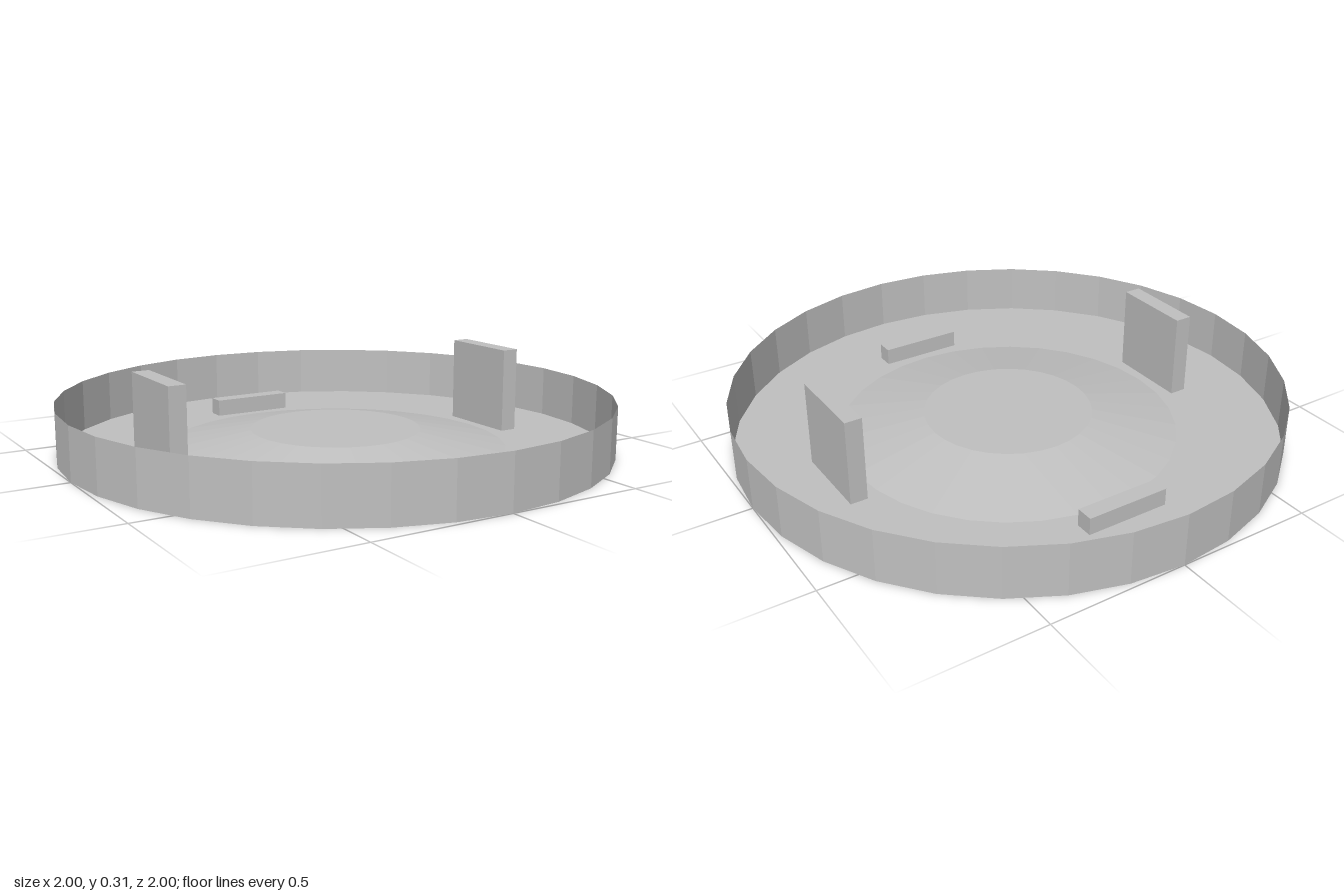
import * as THREE from 'three';

const RIM_R = 1, RIM_H = 0.19;   // outer wall
const DOME_H = 0.063;            // raised centre
const TAB_R = 0.688, TAB_W = 0.31, TAB_T = 0.063;

export function createModel() {
  const grey = new THREE.MeshStandardMaterial({ color: 0xc0c0c0 });
  grey.name = 'light grey';
  grey.flatShading = true;
  grey.side = THREE.DoubleSide;

  const model = new THREE.Group();
  model.name = 'shallowTray';

  // Thin sheet turned about y, 32 sided
  const turned = (name, points) => {
    const profile = points.map(([r, y]) => new THREE.Vector2(r, y));
    const mesh = new THREE.Mesh(new THREE.LatheGeometry(profile, 32), grey);
    mesh.name = name;
    model.add(mesh);
  };
  // Floor with a raised, flat-topped centre
  turned('floor', [[RIM_R, 0], [0.622, 0], [0.31, DOME_H], [0, DOME_H]]);
  // Open wall around the edge
  turned('rimWall', [[RIM_R, 0], [RIM_R, RIM_H]]);

  // Four upright tabs: tall at the sides, low at front and back
  const names = ['frontTab', 'leftTab', 'backTab', 'rightTab'];
  names.forEach((name, i) => {
    const height = i % 2 ? 0.313 : 0.063;
    const geometry = new THREE.BoxGeometry(TAB_W, height, TAB_T);
    geometry.translate(0, height / 2, TAB_R);
    const tab = new THREE.Mesh(geometry, grey);
    tab.name = name;
    tab.rotation.y = i * Math.PI / 2;
    model.add(tab);
  });

  return model;
}
